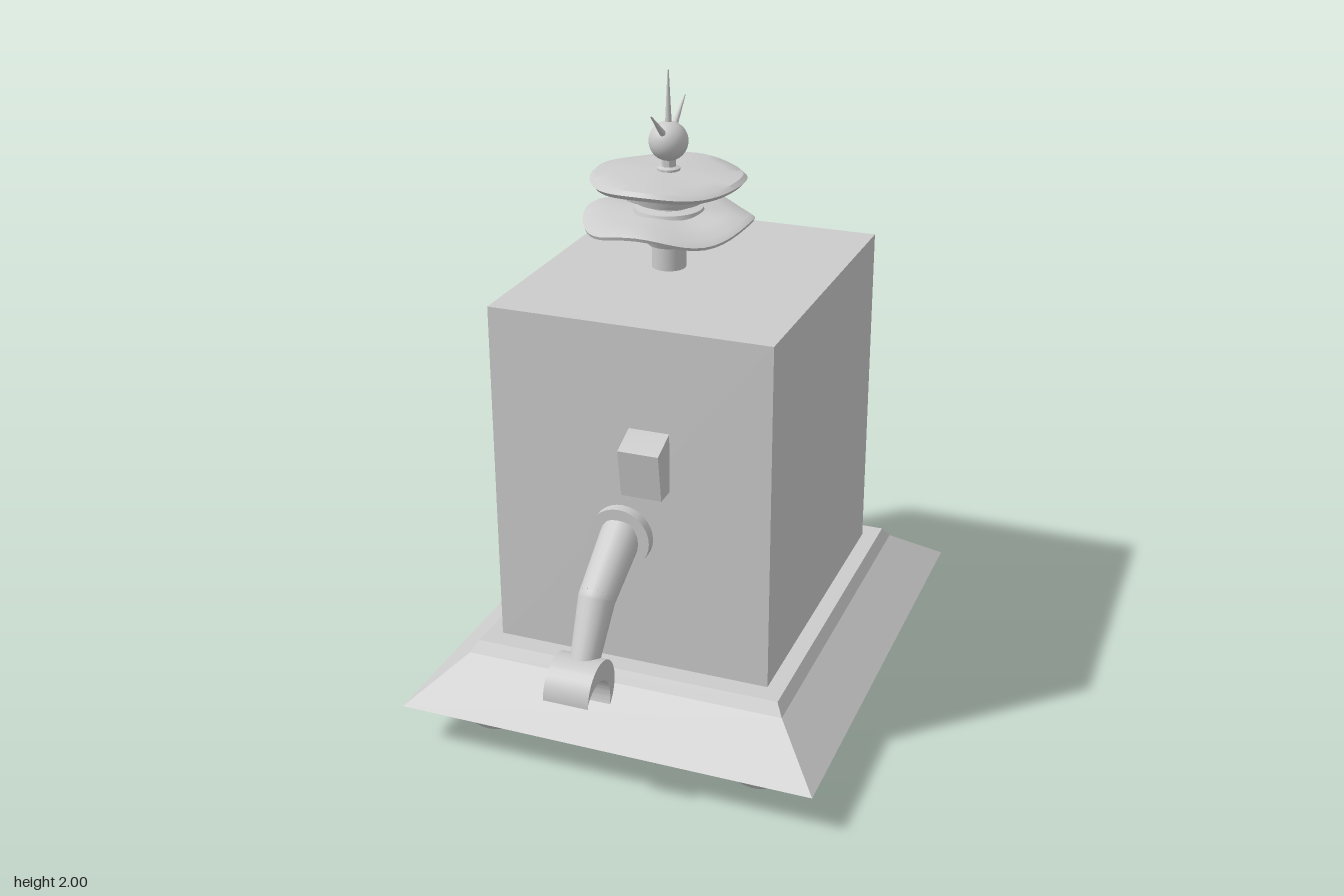
import * as THREE from 'three';
import { toCreasedNormals } from 'three/addons/utils/BufferGeometryUtils.js';

const mat = new THREE.MeshStandardMaterial({ color: 0xcccccc });

function add(parent, name, geo, x = 0, y = 0, z = 0) {
  const m = new THREE.Mesh(geo, mat);
  m.name = name;
  m.position.set(x, y, z);
  parent.add(m);
  return m;
}

// Lathe with an optional four-lobed ripple that grows towards the rim
function turned(points, ripple = 0, rim = 1) {
  const geo = new THREE.LatheGeometry(points.map(p => new THREE.Vector2(...p)), 48);
  const p = geo.attributes.position;
  for (let i = 0; i < p.count; i++) {
    const x = p.getX(i), z = p.getZ(i);
    const k = (Math.hypot(x, z) / rim) ** 2;
    p.setY(i, p.getY(i) + ripple * k * Math.cos(4 * Math.atan2(z, x)));
  }
  return toCreasedNormals(geo, 0.6);
}

// Side profile (z, y) extruded along x, centred on x = 0
function sideExtrude(shape, width) {
  const geo = new THREE.ExtrudeGeometry(shape, { depth: width, bevelEnabled: false, curveSegments: 20 });
  geo.translate(0, 0, -width / 2);
  geo.rotateY(-Math.PI / 2);
  return toCreasedNormals(geo, 0.5);
}

// Tapered rod between two points
function rod(parent, name, a, b, ra, rb) {
  const from = new THREE.Vector3(...a), dir = new THREE.Vector3(...b).sub(from);
  const m = add(parent, name, new THREE.CylinderGeometry(rb, ra, dir.length(), 20));
  m.position.copy(from).addScaledVector(dir, 0.5);
  m.quaternion.setFromUnitVectors(new THREE.Vector3(0, 1, 0), dir.normalize());
}

// Flared rectangular skirt: half sizes [x, y, z] at three levels
function skirt() {
  const levels = [[0.66, 0.135, 0.777], [0.51, 0.262, 0.605], [0.488, 0.297, 0.58]];
  const geo = new THREE.BoxGeometry(2, 2, 2, 1, 2, 1);
  const p = geo.attributes.position;
  for (let i = 0; i < p.count; i++) {
    const [hx, y, hz] = levels[Math.round(p.getY(i)) + 1];
    p.setXYZ(i, Math.sign(p.getX(i)) * hx, y, Math.sign(p.getZ(i)) * hz);
  }
  const flat = geo.toNonIndexed();
  flat.computeVertexNormals();
  return flat;
}

// Arm and control box on one face; s = 1 front, -1 back
function faceParts(s) {
  const g = new THREE.Group();
  g.name = s > 0 ? 'frontFace' : 'backFace';
  g.rotation.y = s > 0 ? 0 : Math.PI;

  const box = new THREE.Shape([[0.5, 0.89], [0.58, 0.89], [0.603, 1.04], [0.515, 1.075], [0.5, 1.075]]
    .map(p => new THREE.Vector2(...p)));
  add(g, 'controlBox', sideExtrude(box, 0.125), s * 0.0625);

  const arm = new THREE.Group();
  arm.name = 'arm';
  arm.position.x = s * -0.024;
  g.add(arm);
  const shoulder = new THREE.CylinderGeometry(0.096, 0.096, 0.04, 32).rotateX(Math.PI / 2);
  add(arm, 'shoulderPlate', shoulder, 0, 0.725, 0.528);
  const elbow = [0, 0.615, 0.715];
  rod(arm, 'upperArm', [0, 0.735, 0.52], elbow, 0.063, 0.055);
  add(arm, 'elbow', new THREE.SphereGeometry(0.055, 20, 14), ...elbow);
  rod(arm, 'forearm', elbow, [0, 0.455, 0.812], 0.055, 0.043);

  // Crescent claw: outer arc out, inner arc back
  const claw = new THREE.Shape();
  claw.absarc(0.84, 0.385, 0.096, 0, 4.04, false);
  claw.absarc(0.868, 0.338, 0.09, 3.46, 0.61, true);
  add(arm, 'claw', sideExtrude(claw, 0.14), s * -0.006);
  return g;
}

export function createModel() {
  const model = new THREE.Group();
  model.name = 'robot';

  add(model, 'body', new THREE.BoxGeometry(0.874, 1.1, 1.03), -0.002, 0.84, 0);
  add(model, 'baseSkirt', skirt());
  for (const x of [-0.438, 0.438])
    for (const z of [-0.575, 0.575])
      add(model, 'ballWheel', new THREE.SphereGeometry(0.123, 32, 20), x, 0.125, z);
  for (const s of [1, -1]) model.add(faceParts(s));

  // Antenna stack
  const mast = new THREE.Group();
  mast.name = 'antenna';
  mast.position.x = -0.076;
  model.add(mast);
  add(mast, 'post', new THREE.CylinderGeometry(0.053, 0.053, 0.12, 32), 0, 1.44, 0);
  add(mast, 'lowerCollar', turned([[0, 1.465], [0.065, 1.465], [0.075, 1.485], [0.09, 1.485], [0.1, 1.505],
    [0.115, 1.505], [0.12, 1.53], [0, 1.53]]));
  add(mast, 'lowerDish', turned([[0, 1.52], [0.11, 1.52], [0.2, 1.528], [0.258, 1.535], [0.262, 1.545],
    [0.245, 1.557], [0.18, 1.566], [0.1, 1.572], [0, 1.572]], 0.015, 0.262));
  add(mast, 'middleCollar', turned([[0, 1.56], [0.11, 1.565], [0.105, 1.582], [0.07, 1.587], [0.07, 1.597],
    [0.105, 1.602], [0.11, 1.617], [0.145, 1.622], [0.15, 1.64], [0.16, 1.645], [0.16, 1.66], [0, 1.66]]));
  add(mast, 'upperDish', turned([[0, 1.65], [0.16, 1.652], [0.225, 1.658], [0.238, 1.672], [0.225, 1.684],
    [0.17, 1.692], [0.08, 1.696], [0, 1.696]], 0.005, 0.238));
  add(mast, 'neck', turned([[0.035, 1.69], [0.035, 1.703], [0.022, 1.708], [0.022, 1.74]]));
  add(mast, 'ball', new THREE.SphereGeometry(0.06, 32, 20), 0, 1.785, 0);
  rod(mast, 'topSpike', [0, 1.82, 0], [0, 2, 0], 0.011, 0.002);
  for (const s of [1, -1])
    rod(mast, 'sideSpike', [0, 1.81, s * 0.035], [0, 1.893, s * 0.138], 0.011, 0.002);

  return model;
}
